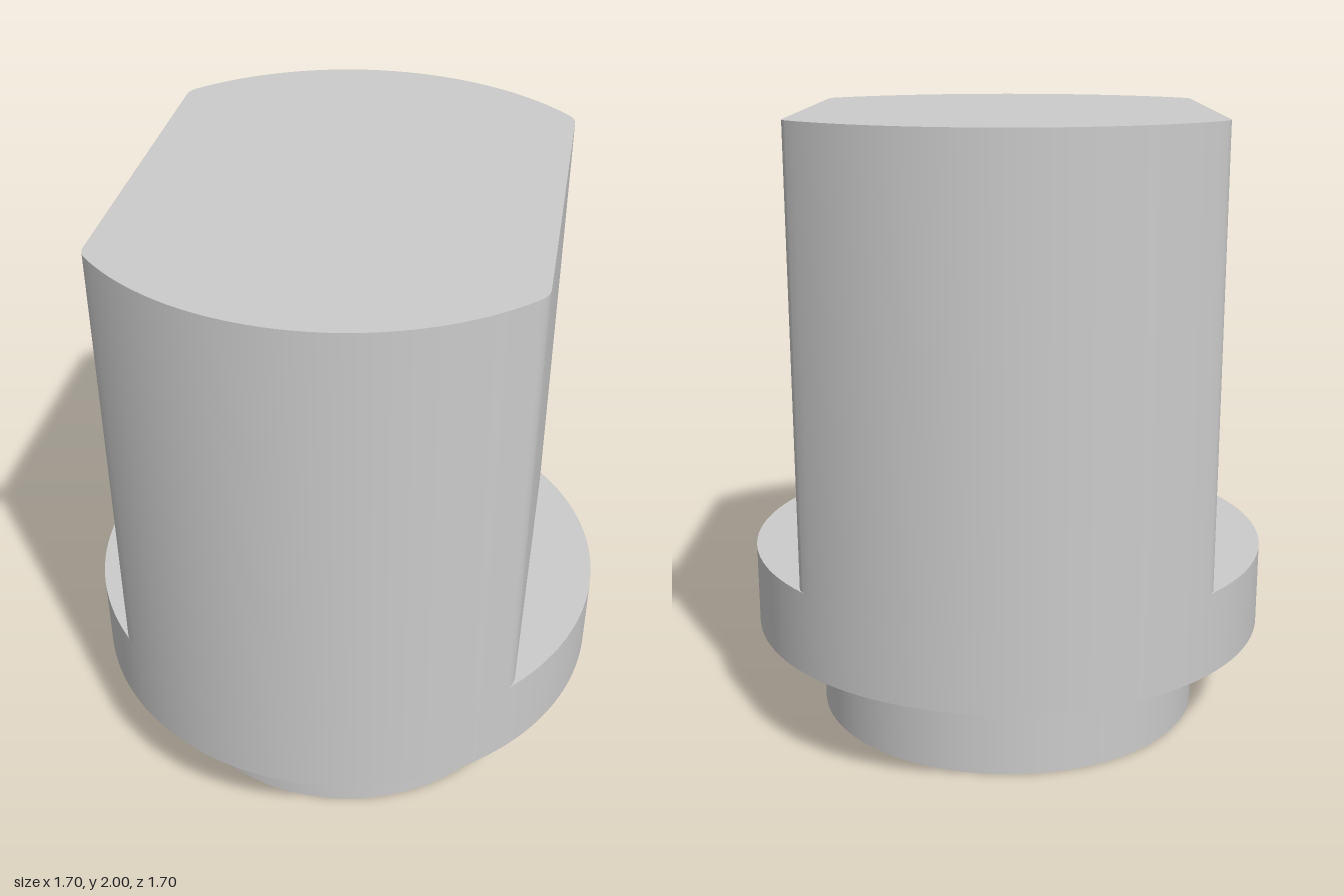
import * as THREE from 'three';
import { toCreasedNormals } from 'three/addons/utils/BufferGeometryUtils.js';

const R = 0.85;        // collar and shaft radius
const FLAT = 0.637;    // half width across the flats
const FILLET = 0.08;   // rounding where a flat meets the curved side
const PIN_TOP = 0.31, LEDGE = 0.58, TOP = 2;

// Points along an arc, without its end point
function arc(cx, cy, r, a0, a1, n) {
  return Array.from({ length: n }, (_, i) => {
    const a = a0 + (a1 - a0) * i / n;
    return new THREE.Vector2(cx + r * Math.cos(a), cy + r * Math.sin(a));
  });
}

// Round outline with two flats and softened corners
function shaftOutline() {
  const cx = FLAT - FILLET;
  const cy = Math.sqrt((R - FILLET) ** 2 - cx ** 2);
  const a = Math.atan2(cy, cx);
  const half = [
    ...arc(cx, cy, FILLET, 0, a, 8),
    ...arc(0, 0, R, a, Math.PI - a, 48),
    ...arc(-cx, cy, FILLET, Math.PI - a, Math.PI, 8),
    new THREE.Vector2(-FLAT, cy),
  ];
  return new THREE.Shape([...half, ...half.map((p) => p.clone().negate())]);
}

export function createModel() {
  const group = new THREE.Group();
  const material = new THREE.MeshStandardMaterial({ color: 0xcccccc });

  const add = (name, geometry, y) => {
    const mesh = new THREE.Mesh(geometry, material);
    mesh.name = name;
    mesh.position.y = y;
    group.add(mesh);
  };
  const disc = (name, r, y0, y1) =>
    add(name, new THREE.CylinderGeometry(r, r, y1 - y0, 128), (y0 + y1) / 2);

  // Narrow round foot and the wide collar above it
  disc('basePin', 0.637, 0, PIN_TOP);
  disc('collar', R, PIN_TOP, LEDGE);

  // Tall shaft with a flat on each side, standing on the collar
  const shaft = new THREE.ExtrudeGeometry(shaftOutline(), { depth: TOP - LEDGE, bevelEnabled: false });
  shaft.rotateX(-Math.PI / 2);
  add('flattedShaft', toCreasedNormals(shaft, 0.5), LEDGE);

  return group;
}
